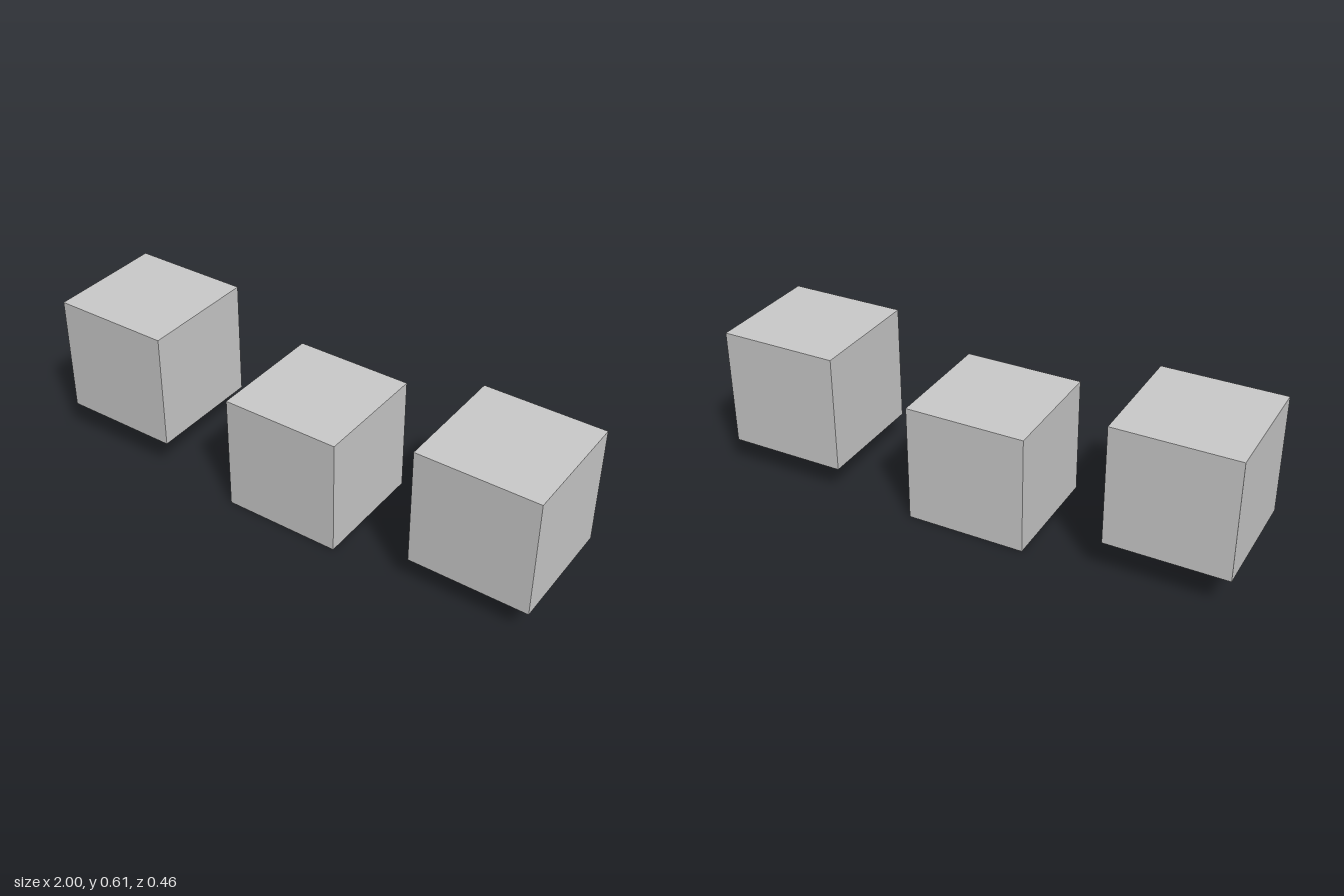
import * as THREE from 'three';

const SIZE = 0.463;

// Three equal cubes in a row, each floating at its own height
const CUBES = [
  { name: 'rightCube', x: -1 + SIZE / 2, bottom: 0.142 },
  { name: 'middleCube', x: -0.003, bottom: 0 },
  { name: 'leftCube', x: 1 - SIZE / 2, bottom: 0.113 },
];

export function createModel() {
  const model = new THREE.Group();
  model.name = 'cubeRow';
  const material = new THREE.MeshStandardMaterial({ color: 0xcccccc });
  const geometry = new THREE.BoxGeometry(SIZE, SIZE, SIZE);

  for (const { name, x, bottom } of CUBES) {
    const cube = new THREE.Mesh(geometry, material);
    cube.name = name;
    cube.position.set(x, bottom + SIZE / 2, 0);
    model.add(cube);
  }
  return model;
}
